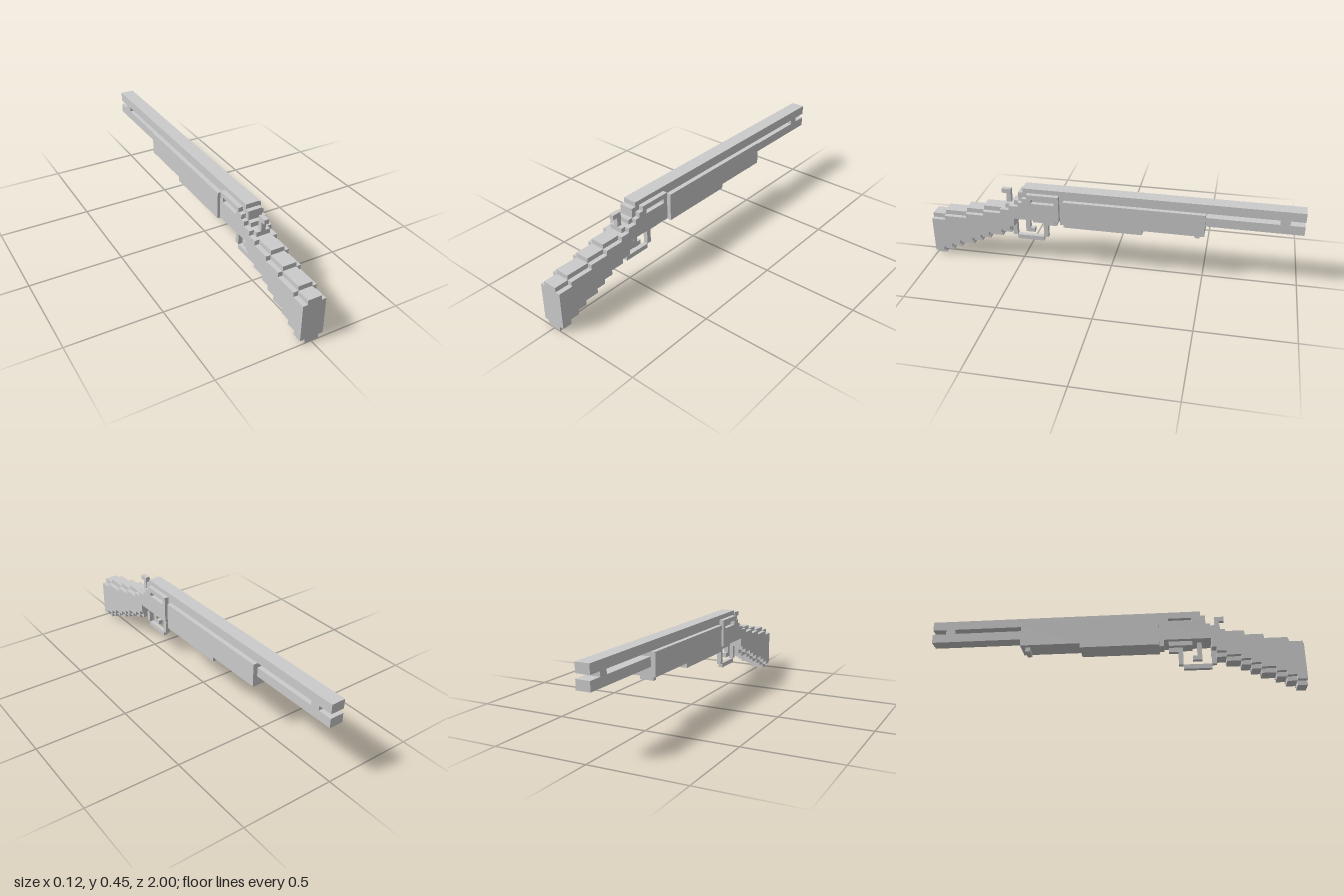
import * as THREE from 'three';

const U = 0.025; // one grid cell
const material = new THREE.MeshStandardMaterial({ color: 0xcccccc, flatShading: true });

// Box from cell ranges: u runs from the butt (z = 1) to the muzzle, v runs up, w is the width
function block(name, u0, u1, v0, v1, w) {
  const mesh = new THREE.Mesh(new THREE.BoxGeometry(w * U, (v1 - v0) * U, (u1 - u0) * U), material);
  mesh.position.set(0, (v0 + v1) / 2 * U, 1 - (u0 + u1) / 2 * U);
  mesh.name = name;
  return mesh;
}

// Staircase outline: each [u, v] starts a level that lasts until the next u
function stairs(steps, end) {
  return steps.flatMap(([u, v], i) => {
    const next = i + 1 < steps.length ? steps[i + 1][0] : end;
    return [[u, v], [next, v]];
  });
}

const toPoints = (cells) => cells.map(([u, v]) => new THREE.Vector2(u * U - 1, v * U));

// Side profile between a lower and an upper staircase, extruded across the width
function slab(name, bottom, top, end, w, hole) {
  const shape = new THREE.Shape(toPoints([...stairs(bottom, end), ...stairs(top, end).reverse()]));
  if (hole) shape.holes.push(new THREE.Path(toPoints(hole)));
  const geometry = new THREE.ExtrudeGeometry(shape, { depth: w * U, bevelEnabled: false });
  geometry.translate(0, 0, -w * U / 2);
  geometry.rotateY(Math.PI / 2);
  const mesh = new THREE.Mesh(geometry, material);
  mesh.name = name;
  return mesh;
}

function group(name, ...parts) {
  const g = new THREE.Group();
  g.name = name;
  g.add(...parts);
  return g;
}

export function createModel() {
  // Underside of the stock; the wide cheeks sit one cell above the spine
  const under = [[0, 0], [2, 1], [4, 2], [6, 3], [9, 4], [11, 5], [13, 6], [16, 7]];
  const stock = group('stockAndReceiver',
    slab('sideCheeks',
      [...under.map(([u, v]) => [u, v + 1]), [18, 9], [19, 11]],
      [[0, 9], [3, 10], [8, 11], [12, 12], [16, 13], [18, 14], [20, 15], [21, 16], [22, 17]],
      29, 5, [[23, 15], [28, 15], [28, 16], [23, 16]]),
    slab('spine',
      [...under, [18, 9], [19, 11], [23, 10], [28, 11]],
      [[0, 10], [3, 11], [8, 12], [12, 13], [17, 14], [19, 15], [20, 17], [21, 18]],
      29, 3));

  const barrel = group('barrelAssembly',
    block('barrel', 21, 80, 16, 18, 3),
    block('magazineTube', 60, 80, 13, 15, 3),
    block('barrelBand', 75, 77, 15, 16, 3));

  const forend = group('forend',
    block('collar', 29, 30, 10, 16, 3),
    slab('grip', [[30, 10], [47, 11]], [[30, 16]], 60, 5),
    block('frontStud', 58, 59, 10, 11, 3));

  const guard = group('triggerGuard',
    block('guardMount', 25, 28, 9, 10, 1),
    block('guardFrontPost', 25, 26, 6, 9, 1),
    block('guardBar', 19, 25, 5, 6, 1),
    block('guardRearPost', 18, 19, 6, 9, 1));

  const trigger = group('trigger',
    block('triggerBlade', 21, 22, 7, 11, 1),
    block('triggerTip', 22, 23, 7, 8, 1));

  const hammer = group('hammer',
    block('hammerPost', 17, 18, 14, 16, 1),
    block('hammerSpur', 16, 18, 16, 17, 1));

  return group('longGun', stock, barrel, forend, guard, trigger, hammer);
}
